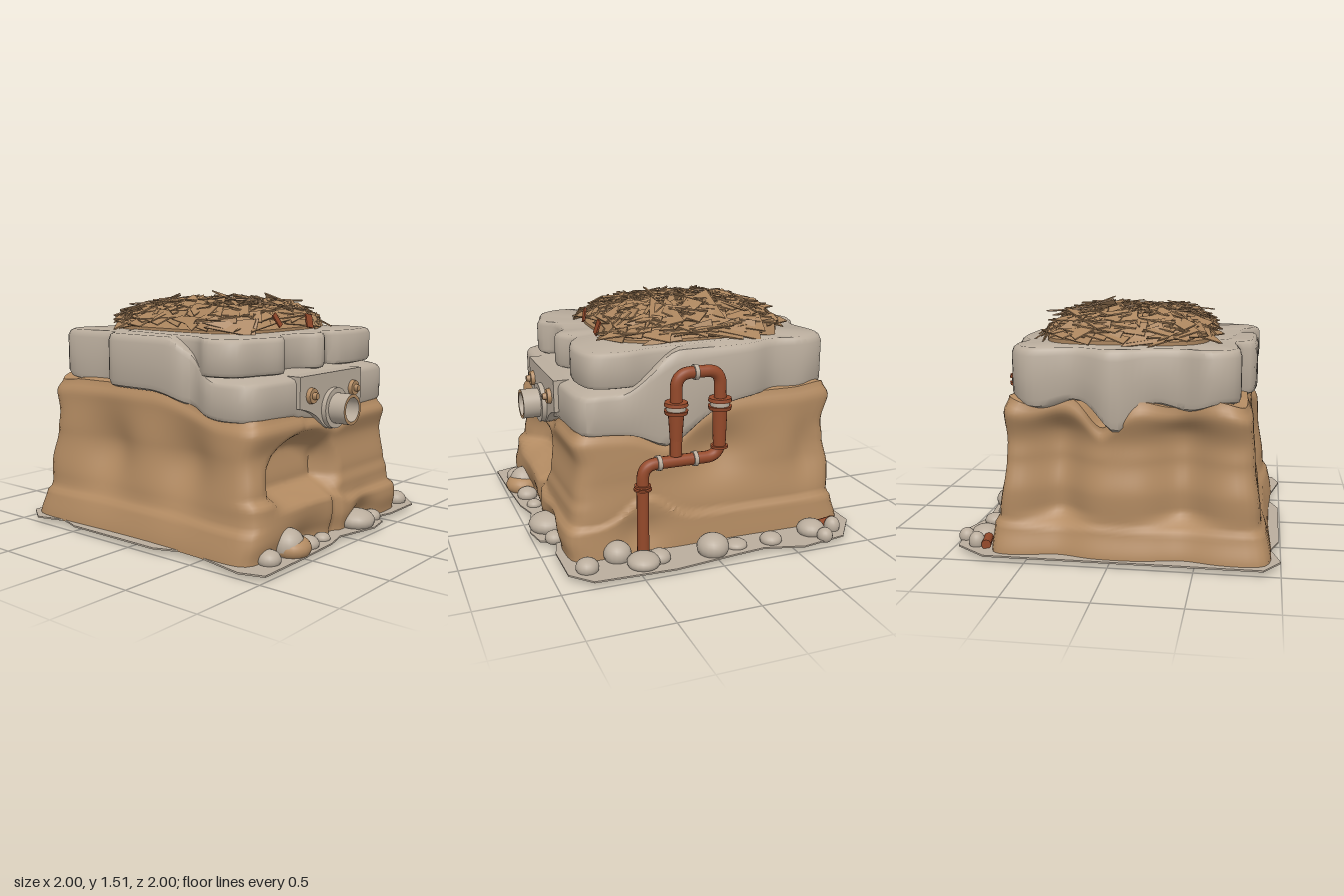
import * as THREE from 'three';
import { mergeGeometries, toCreasedNormals } from 'three/addons/utils/BufferGeometryUtils.js';

const mat = (name, color, side = THREE.FrontSide) => Object.assign(new THREE.MeshStandardMaterial({ color, side }), { name });
const V = (x, y, z) => new THREE.Vector3(x, y, z);
const smooth = (a, b, x) => THREE.MathUtils.smoothstep(x, a, b);
const bump = (x, c, w) => Math.exp(-(((x - c) / w) ** 2));

// Closed skin over rings of points; f(column, row) returns a point.
function loft(cols, rows, f, crease = 0.7) {
  const pos = [], idx = [];
  for (let r = 0; r < rows; r++) for (let c = 0; c < cols; c++) pos.push(...f(c, r).toArray());
  for (let r = 0; r < rows - 1; r++) for (let c = 0; c < cols; c++) {
    const a = r * cols + c, b = r * cols + (c + 1) % cols;
    idx.push(a, a + cols, b, b, a + cols, b + cols);
  }
  const g = new THREE.BufferGeometry();
  g.setAttribute('position', new THREE.Float32BufferAttribute(pos, 3));
  g.setIndex(idx);
  return toCreasedNormals(g, crease);
}

// Smooth closed outline through [x, z] points.
const outline = (pts, n) => new THREE.CatmullRomCurve3(pts.map(([x, z]) => V(x, 0, z)), true, 'catmullrom', 0.5).getSpacedPoints(n).slice(0, n);

// Lower edge of the stone collar, with drips on the side, front and back.
const collarBottom = (x, z) => 0.93 - 0.13 * smooth(0, 0.6, z)
  - 0.21 * bump(z, 0.22, z < 0.22 ? 0.27 : 0.2) * smooth(0.4, 0.6, x)
  - 0.02 * smooth(0.3, 0.6, z) * smooth(-0.4, -0.75, x)
  - 0.08 * bump(x, -0.05, 0.16) * smooth(0.4, 0.7, z)
  - (0.13 * bump(x, -0.05, 0.13) + 0.025 * Math.cos(x * 14)) * smooth(0.6, 0.8, -z);
const collarTop = (x, z) => 1.265 - 0.235 * smooth(0.15, 0.55, z);

// Slab with rounded edges and a height that may vary along the outline.
function slab(pts, bottom, top, cx, cz) {
  const ring = outline(pts, 140);
  const profile = [[0.6, 0], [0.95, 0], [0.985, 0.04], [1, 0.14], [1, 0.5], [1, 0.86], [0.985, 0.96], [0.96, 1], [0, 1]];
  return loft(140, profile.length, (c, r) => {
    const { x, z } = ring[c], [s, t] = profile[r];
    const y = s === 0 ? top(0, 0) : THREE.MathUtils.lerp(bottom(x, z), top(x, z), t);
    return V(cx + (x - cx) * s, y, cz + (z - cz) * s);
  });
}

// Smooth lookup in [y, value] pairs.
function along(table, y) {
  for (let i = 1; i < table.length; i++) {
    const [y0, v0] = table[i - 1], [y1, v1] = table[i];
    if (y <= y1) return v0 + (v1 - v0) * smooth(y0, y1, y);
  }
  return table[table.length - 1][1];
}

// Weathered rock block: squared rings pushed in by hollows.
function rockGeometry() {
  const left = [[0, 0.93], [0.3, 0.88], [0.6, 0.845], [0.85, 0.825]];
  const right = [[0, 0.715], [0.25, 0.7], [0.5, 0.675], [0.85, 0.66]];
  const front = [[0.03, 0.84], [0.15, 0.86], [0.32, 0.84], [0.4, 0.82], [0.6, 0.79], [0.75, 0.825]];
  const back = [[0.03, 0.95], [0.2, 0.91], [0.4, 0.92], [0.6, 0.88], [0.7, 0.87], [0.9, 0.92]];
  const N = 176, R = 44;
  return loft(N, R + 3, (c, r) => {
    const a = (c / N) * Math.PI * 2, ca = Math.cos(a), sa = Math.sin(a);
    const k = (Math.abs(ca) ** 16 + Math.abs(sa) ** 16) ** (-1 / 16);
    const ux = ca * k, uz = sa * k;
    const top = collarBottom(ux * 0.75 - 0.1, uz * 0.85) + 0.02;
    const y = r <= R ? 0.03 + (top - 0.03) * r / R : r === R + 1 ? top + 0.01 : 1;
    // rounded shoulder under the collar
    const s = r <= R ? 1 - 0.045 * smooth(R - 6, R, r) ** 2 : r === R + 1 ? 0.9 : 0;
    let x = ux * along(ux > 0 ? right : left, y), z = uz * along(uz > 0 ? front : back, y);
    const f = smooth(0.7, 0.95, uz), b = smooth(0.7, 0.95, -uz), p = smooth(0.7, 0.95, ux), l = smooth(0.7, 0.95, -ux);
    const low = 1 - smooth(0.19, 0.23, y);
    const frontLedge = 1 - smooth(0.34, 0.38, y + 0.08 * smooth(-0.6, -0.05, x) + 0.05 * smooth(-0.05, 0.1, x));
    const sideLedge = 1 - smooth(0.21, 0.24, y - 0.15 * bump(z, 0.38, 0.17));
    // front: arched niche, crevice and two low alcoves
    const niche = (1 - smooth(0.3, 1.2, ((x + 0.32) / 0.36) ** 2 + ((y - 0.42) / 0.28) ** 2)) * smooth(0.27, 0.38, y);
    z += f * (0.03 * frontLedge - 0.15 * niche - 0.035 * bump(x, -0.05, 0.035) * (1 - smooth(0.5, 0.7, y))
      - 0.1 * bump(x, 0.27, 0.12) * bump(y, 0.06, 0.11) - 0.06 * bump(x, -0.35, 0.25) * bump(y, 0.08, 0.13));
    // back: two tall hollows leaving a column between them
    z += b * ((0.15 * bump(x, -0.42, 0.17) + 0.15 * bump(x, 0.32, 0.16)) * (0.35 + 0.65 * smooth(0.17, 0.3, y)) * (1 - 0.5 * smooth(0.75, 0.95, y)) - 0.02 * low);
    // sides: ledges and rounded dents
    x += p * (0.025 * sideLedge - 0.015 * bump(z, -0.1, 0.5) - 0.08 * bump(z, -0.1, 0.22) * bump(y, 0.6, 0.16) - 0.05 * bump(z, 0.42, 0.14) * bump(y, 0.15, 0.14) - 0.05 * bump(z, -0.72, 0.1) * bump(y, 0.55, 0.2));
    x += l * (0.025 * bump(z, 0, 0.5) + (0.1 * bump(z, 0.3, 0.2) + 0.1 * bump(z, -0.35, 0.2)) * bump(y, 0.52, 0.24) - 0.02 * low);
    return V(x * s, y, z * s);
  }, 0.9);
}

// Path with rounded corners.
function roundedPath(pts, r) {
  const path = new THREE.CurvePath();
  let from = pts[0];
  for (let i = 1; i < pts.length - 1; i++) {
    const p = pts[i];
    const a = p.clone().add(pts[i - 1].clone().sub(p).setLength(r)), b = p.clone().add(pts[i + 1].clone().sub(p).setLength(r));
    path.add(new THREE.LineCurve3(from, a));
    path.add(new THREE.QuadraticBezierCurve3(a, p, b));
    from = b;
  }
  path.add(new THREE.LineCurve3(from, pts[pts.length - 1]));
  return path;
}

// Squared dome on which the nest is woven.
function domePoint(a, rho) {
  const ca = Math.cos(a), sa = Math.sin(a), k = (ca ** 4 + sa ** 4) ** -0.25;
  return V(-0.03 + ca * k * 0.53 * rho, 1.3 + 0.155 * (1 - rho ** 4), -0.1 + sa * k * 0.6 * rho);
}

export function createModel() {
  const model = new THREE.Group();
  const stone = mat('pale stone', 0xbaad9d);
  const earth = mat('brown rock', 0xb38b62);
  const rust = mat('rusty metal', 0x94492a);
  const straw = mat('nest sticks', 0xaa845d, THREE.DoubleSide);
  const add = (name, geo, m, x = 0, y = 0, z = 0, parent = model) => {
    const mesh = new THREE.Mesh(geo, m);
    mesh.name = name;
    mesh.position.set(x, y, z);
    parent.add(mesh);
    return mesh;
  };

  // Ground sheet with a shallow cone underneath
  const edge = [[0.95, -0.85], [1, -0.55], [0.93, -0.3], [0.95, -0.1], [1, 0.3], [0.98, 0.8], [0.85, 0.92], [0.55, 0.92], [0.4, 0.88], [0.35, 0.97], [0.2, 1], [-0.1, 0.93],
    [-0.25, 0.97], [-0.6, 0.99], [-0.95, 1], [-1, 0.85], [-0.91, 0.4], [-0.99, 0.2], [-0.99, -0.5], [-0.94, -0.65], [-1, -0.85], [-0.9, -1], [0.75, -1]];
  const sheet = [[0, 0], [1, 0.027], [1, 0.037], [0, 0.037]];
  add('groundSheet', loft(edge.length, 4, (c, r) => V(edge[c][0] * sheet[r][0], sheet[r][1], edge[c][1] * sheet[r][0])), stone);

  // Rock block, stone collar and top slab
  add('rockBody', rockGeometry(), earth);
  add('stoneCollar', slab([[0.62, -0.72], [0.6, -0.5], [0.68, -0.3], [0.69, 0], [0.69, 0.25], [0.67, 0.55], [0.63, 0.76], [0.3, 0.8], [-0.1, 0.8], [-0.5, 0.8], [-0.77, 0.75],
    [-0.82, 0.5], [-0.77, 0.33], [-0.82, 0.2], [-0.82, -0.3], [-0.72, -0.42], [-0.74, -0.78], [-0.58, -0.89], [-0.4, -0.83], [-0.2, -0.86], [0, -0.93], [0.22, -0.85], [0.5, -0.88]],
  collarBottom, collarTop, -0.08, -0.05), stone);
  add('topSlab', slab([[0.45, -0.4], [0.56, -0.1], [0.6, 0.3], [0.64, 0.5], [0.6, 0.69], [0.4, 0.74], [0.22, 0.71], [0.12, 0.66], [-0.03, 0.74], [-0.15, 0.67], [-0.34, 0.66],
    [-0.45, 0.75], [-0.6, 0.71], [-0.77, 0.65], [-0.83, 0.48], [-0.74, 0.3], [-0.7, -0.1], [-0.55, -0.4]], () => 1.05, () => 1.27, -0.08, 0), stone);

  // Front plate with drain spout and bolts
  const plate = new THREE.Shape();
  plate.moveTo(-0.4, 1.04);
  plate.lineTo(-0.4, 0.85);
  plate.quadraticCurveTo(-0.24, 0.82, -0.17, 0.74);
  plate.quadraticCurveTo(-0.05, 0.64, 0.07, 0.74);
  plate.quadraticCurveTo(0.14, 0.81, 0.27, 0.84);
  plate.lineTo(0.27, 1.04);
  add('frontPlate', new THREE.ExtrudeGeometry(plate, { depth: 0.22, bevelEnabled: false, curveSegments: 10 }), stone, 0, 0, 0.61);
  const ringGeo = (outer, inner, depth) => {
    const s = new THREE.Shape().absarc(0, 0, outer, 0, Math.PI * 2);
    s.holes.push(new THREE.Path().absarc(0, 0, inner, 0, Math.PI * 2, true));
    return toCreasedNormals(new THREE.ExtrudeGeometry(s, { depth, bevelEnabled: false, curveSegments: 20 }), 0.6);
  };
  const spout = new THREE.Group();
  spout.name = 'drainSpout';
  spout.position.set(-0.05, 0.82, 0);
  model.add(spout);
  add('spoutFlange', ringGeo(0.125, 0.08, 0.05), stone, 0, 0, 0.81, spout);
  add('spoutPipe', ringGeo(0.094, 0.074, 0.15), [earth, stone], 0, 0, 0.82, spout);
  add('spoutInside', new THREE.CircleGeometry(0.08, 28), stone, 0, 0, 0.87, spout);
  for (const x of [-0.29, 0.17]) {
    add('boltWasher', new THREE.CylinderGeometry(0.045, 0.05, 0.03, 16).rotateX(Math.PI / 2), earth, x, 0.92, 0.84);
    add('boltHead', new THREE.CylinderGeometry(0.02, 0.025, 0.03, 6).rotateX(Math.PI / 2), earth, x, 0.92, 0.865);
  }

  // Side pipe with collars and clamps
  const px = 0.76;
  const bends = [[0.43, 0.03], [0.43, 0.615], [-0.06, 0.615], [-0.06, 1.15], [0.22, 1.15], [0.22, 0.65]].map(([z, y]) => V(px, y, z));
  add('sidePipe', new THREE.TubeGeometry(roundedPath(bends, 0.09), 220, 0.037, 14), rust);
  const collar = (name, z, y, r0, r1, h, m, flat) => {
    const g = new THREE.CylinderGeometry(r0, r1, h, 18);
    add(name, flat ? g.rotateX(Math.PI / 2) : g, m, px, y, z);
  };
  for (const z of [0.22, -0.06]) {
    collar('pipeCollarTop', z, 0.97, 0.068, 0.072, 0.022, rust);
    collar('pipeCollarBand', z, 0.945, 0.058, 0.058, 0.03, stone);
    collar('pipeCollarBottom', z, 0.92, 0.072, 0.068, 0.022, rust);
  }
  collar('pipeTaper', 0.22, 0.78, 0.048, 0.03, 0.26, rust);
  collar('pipeSleeve', -0.06, 0.79, 0.045, 0.038, 0.24, rust);
  collar('pipeRing', -0.06, 0.675, 0.053, 0.053, 0.014, rust);
  collar('pipeRing', 0.43, 0.485, 0.05, 0.05, 0.014, rust);
  collar('pipeRing', 0.43, 0.465, 0.055, 0.055, 0.01, rust);
  for (const [z, y] of [[0.1, 1.15], [0.33, 0.615], [0.1, 0.615]]) collar('pipeClamp', z, y, 0.046, 0.046, 0.026, stone, true);
  add('looseRod', new THREE.CylinderGeometry(0.03, 0.03, 0.15, 10).rotateX(Math.PI / 2).rotateY(0.2), rust, 0.78, 0.06, -0.81);

  // Pebbles: x, z, width radius, height radius, colour
  const pebbles = [[-0.57, 0.875, 0.1, 0.1, stone], [-0.55, 0.89, 0.115, 0.075, earth], [-0.77, 0.89, 0.07, 0.055, stone], [-0.39, 0.89, 0.07, 0.05, stone], [-0.22, 0.88, 0.05, 0.035, stone],
    [0.17, 0.88, 0.12, 0.072, stone], [0.36, 0.88, 0.06, 0.045, stone], [0.75, 0.59, 0.085, 0.075, stone], [0.88, 0.47, 0.1, 0.055, stone], [0.85, 0.36, 0.07, 0.05, stone],
    [0.83, 0.8, 0.07, 0.055, stone], [0.87, 0.02, 0.1, 0.08, stone], [0.84, -0.15, 0.07, 0.035, stone], [0.86, -0.38, 0.07, 0.045, stone],
    [0.83, -0.68, 0.09, 0.06, stone], [0.94, -0.72, 0.05, 0.05, stone], [0.84, -0.83, 0.05, 0.06, stone]];
  for (const [x, z, r, h, m] of pebbles) {
    const g = new THREE.SphereGeometry(1, 18, 12, 0, Math.PI * 2, 0, Math.PI * 0.75).scale(r, h, r);
    add('pebble', g, m, x, 0.02 + h * 0.7, z);
  }

  // Nest: an open-centred shell covered with splintered planks and long sticks
  add('nestShell', loft(48, 9, (c, r) => {
    const p = domePoint((c / 48) * Math.PI * 2, 0.25 + 0.09 * Math.min(8, 9 - r));
    p.y = r ? p.y - 0.03 : 1.26;
    return p;
  }), straw);
  let seed = 7;
  const rnd = () => (seed = (seed * 16807) % 2147483647) / 2147483647;
  const sticks = [];
  for (let i = 0; i < 240; i++) {
    const thin = i % 4 === 0, a = rnd() * Math.PI * 2, rho = thin ? 0.2 + 0.4 * rnd() : 0.42 + 0.56 * Math.sqrt(rnd());
    const p = domePoint(a, rho), rim = rho > 0.75;
    const around = domePoint(a + 0.05, rho).sub(p).normalize(), inward = domePoint(a, rho - 0.05).sub(p).normalize();
    const up = around.clone().cross(inward).normalize();
    if (up.y < 0) up.negate();
    const turn = (rnd() - 0.5) * (rim ? 0.9 : 3.1);
    const dir = around.multiplyScalar(Math.cos(turn)).addScaledVector(inward, Math.sin(turn)).addScaledVector(up, (rnd() - 0.5) * 0.12).normalize();
    const side = up.clone().applyAxisAngle(dir, (rnd() - 0.5) * 0.9).cross(dir).normalize();
    const len = thin ? 0.35 + rnd() * 0.2 : 0.18 + rnd() * (rim ? 0.14 : 0.22);
    const g = new THREE.BoxGeometry(len, 0.008, thin ? 0.022 : 0.05 + rnd() * 0.1);
    const q = g.attributes.position, tip = 0.1 + rnd() * 0.6, skew = (rnd() - 0.5) * 0.06;
    for (let v = 0; v < q.count; v++) if (q.getX(v) > 0) q.setXYZ(v, q.getX(v) + q.getZ(v) * 0.7, q.getY(v), q.getZ(v) * tip + skew);
    g.applyMatrix4(new THREE.Matrix4().makeBasis(dir, dir.clone().cross(side).negate(), side));
    g.translate(p.x, p.y, p.z);
    sticks.push(g);
  }
  add('nestSticks', mergeGeometries(sticks), straw);
  for (const [x, y, z, w, tilt] of [[0.15, 1.325, 0.51, 0.065, -0.2], [-0.18, 1.345, 0.5, 0.04, 0.5]]) {
    add('rustyScrap', new THREE.BoxGeometry(w, 0.09, 0.01), rust, x, y, z).rotation.set(-0.3, 0, tilt);
  }
  return model;
}
